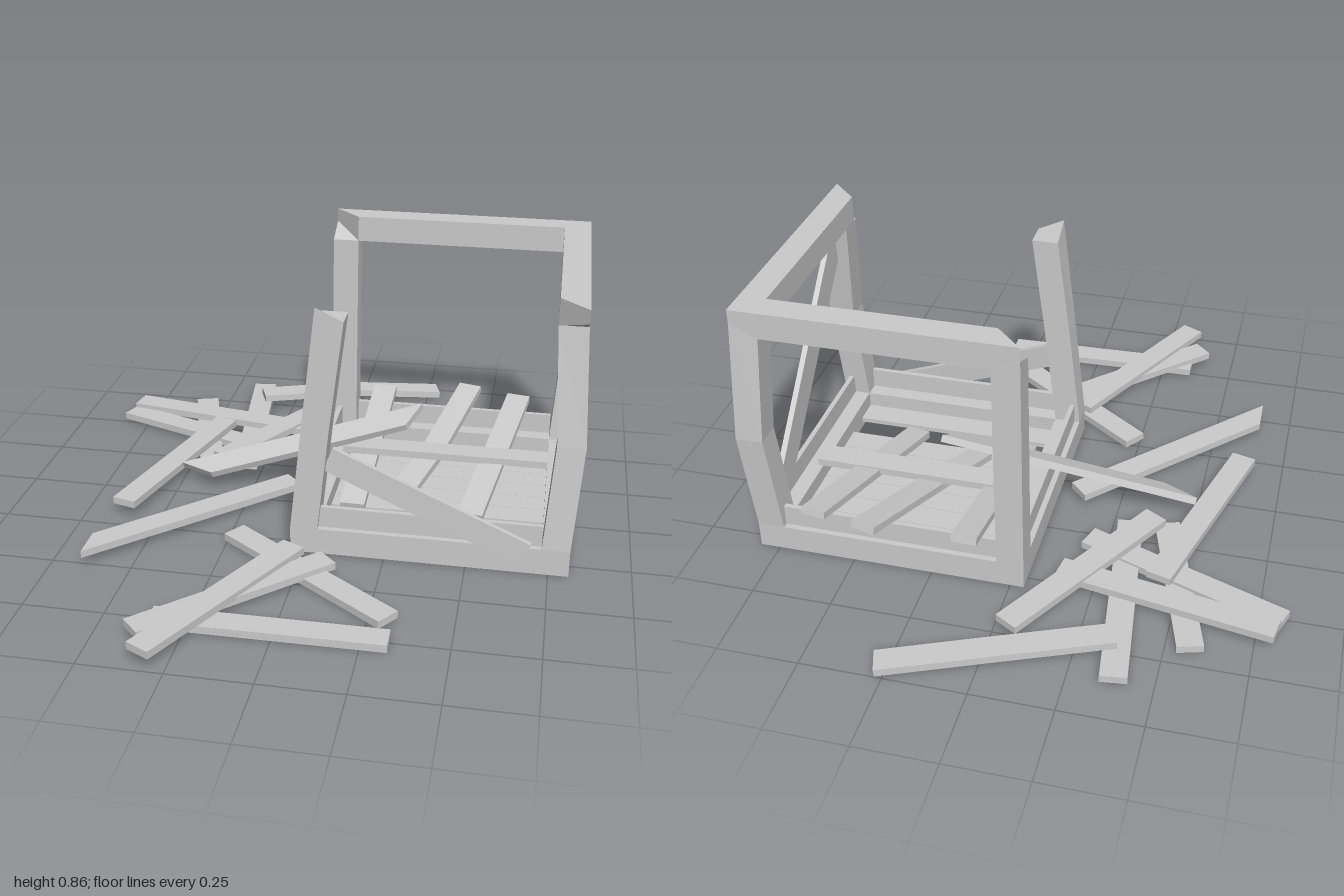
import * as THREE from 'three';

const V = (x, y, z) => new THREE.Vector3(x, y, z);

// Solid through four-cornered sections, capped at both ends and wound outwards
function loft(name, rings) {
  const tris = [];
  const quad = (a, b, c, d) => tris.push([a, b, c], [a, c, d]);
  for (let i = 0; i < rings.length - 1; i++) {
    for (let j = 0; j < 4; j++) {
      const k = (j + 1) % 4;
      quad(rings[i][j], rings[i][k], rings[i + 1][k], rings[i + 1][j]);
    }
  }
  const first = rings[0], last = rings[rings.length - 1];
  quad(first[3], first[2], first[1], first[0]);
  quad(last[0], last[1], last[2], last[3]);

  const centre = first[0].clone().add(last[2]).multiplyScalar(0.5);
  const volume = tris.reduce((sum, [a, b, c]) => sum + a.clone().sub(centre)
    .dot(b.clone().sub(centre).cross(c.clone().sub(centre))), 0);
  const points = tris.flatMap(([a, b, c]) => (volume > 0 ? [a, b, c] : [a, c, b]));
  const geometry = new THREE.BufferGeometry().setFromPoints(points);
  geometry.computeVertexNormals();
  const mesh = new THREE.Mesh(geometry,
    new THREE.MeshStandardMaterial({ color: 0xcccccc, flatShading: true }));
  mesh.name = name;
  return mesh;
}

function box(name, x0, x1, y0, y1, z0, z1) {
  const ring = (y) => [V(x0, y, z0), V(x1, y, z0), V(x1, y, z1), V(x0, y, z1)];
  return loft(name, [ring(y0), ring(y1)]);
}

// Board along a path; up rolls it and skew slants the two ends
function plank(name, path, { up = V(0, 1, 0), width = 0.08, thick = 0.024, skew = [0, 0] } = {}) {
  const pts = path.map((p) => V(...p));
  const n = pts.length - 1;
  const rings = pts.map((p, i) => {
    const dir = pts[Math.min(i + 1, n)].clone().sub(pts[Math.max(i - 1, 0)]).normalize();
    const side = dir.clone().cross(up).normalize();
    const top = side.clone().cross(dir);
    const s = i === 0 ? skew[0] : i === n ? skew[1] : 0;
    return [[1, 1], [-1, 1], [-1, -1], [1, -1]].map(([a, b]) => p.clone()
      .addScaledVector(side, a * width / 2)
      .addScaledVector(top, b * thick / 2)
      .addScaledVector(dir, a * s / 2));
  });
  return loft(name, rings);
}

// Post through [x, y, z] section centres, its outer top corner left higher by the mitre
function post(name, centres, sx, sz) {
  const h = 0.0425;
  const rings = centres.map(([x, y, z], i) =>
    [[1, 1], [-1, 1], [-1, -1], [1, -1]].map(([a, b]) => {
      const raised = i === centres.length - 1 && a === sx && b === sz;
      return V(x + a * h, y + (raised ? 0.04 : 0), z + b * h);
    }));
  return loft(name, rings);
}

export function createModel() {
  const model = new THREE.Group();
  model.name = 'brokenCrate';
  const L = -0.043, R = 0.812, B = -0.543, F = 0.31, T = 0.085;
  const low = 0.773, high = 0.857;

  // Bottom frame
  const frame = new THREE.Group();
  frame.name = 'crateFrame';
  frame.add(
    box('bottomFrontBeam', L, R, 0, T, F - T, F),
    box('bottomBackBeam', L, R, 0, T, B, B + T),
    box('bottomRightBeam', L, L + T, 0, T, B + T, F - T),
    box('bottomLeftBeam', R - T, R, 0, T, B + T, F - T),
  );

  // Corner posts, two bowed and one leaning free
  const h = T / 2;
  frame.add(
    post('backRightPost', [[L + h, T, B + h], [L + h, low, B + h]], -1, -1),
    post('backLeftPost', [[R - h, T, B + h], [R - h + 0.022, 0.42, B + h - 0.02], [R - h, low, B + h]], 1, -1),
    post('frontLeftPost', [[R - h, T, F - h], [R - h + 0.022, 0.42, F - h - 0.025], [R - h, low, F - h - 0.07]], 1, 1),
    post('frontRightPost', [[L + h, T, F - h], [L + h + 0.035, 0.42, F - h], [L + h + 0.078, low, F - h]], -1, 1),
  );

  // Top beams with open mitred ends
  const section = (z) => [V(R, high, z), V(R - T, high, z), V(R - T, low, z), V(R, low, z)];
  frame.add(loft('topLeftBeam', [section(B + T), section(F - T),
    [V(R, high, F), V(R - T, high, F - T), V(R - T, low, F - T), V(R, 0.815, F)]]));
  const backSection = (x) => [V(x, high, B), V(x, high, B + T), V(x, low, B + T), V(x, low, B)];
  frame.add(loft('topBackBeam', [backSection(R), backSection(L + T),
    [V(L, high, B), V(L + T, high, B + T), V(L + T, low, B + T), V(L, 0.815, B)]]));

  // Thin lowest wall boards standing in the frame
  const inset = 0.018, thin = 0.016, wallTop = 0.153;
  const wall = (name, x0, x1, z0, z1) => frame.add(box(name, x0, x1, T - 0.01, wallTop, z0, z1));
  wall('rightWallBoard', L + inset, L + inset + thin, B + T, F - T);
  wall('leftWallBoard', R - inset - thin, R - inset, B + T, F - T);
  wall('backWallBoard', L + T, R - T, B + inset, B + inset + thin);
  wall('frontWallBoard', L + T, R - T, F - inset - thin, F - inset);

  // Side brace in the plane of the wall board
  frame.add(plank('diagonalBrace', [[0.782, 0.75, 0.2], [0.782, 0.08, -0.47]],
    { up: V(1, 0, 0), width: 0.1, thick: 0.018 }));
  model.add(frame);

  // Thin floor boards with one missing
  const floor = new THREE.Group();
  floor.name = 'floor';
  for (const i of [0, 1, 2, 3, 4, 5, 7]) {
    const z = B + T + i * 0.0855;
    floor.add(box('floorBoard', L + T, R - T, 0.018, 0.034, z + 0.001, z + 0.0845));
  }
  model.add(floor);

  // Boards fallen inside the crate and against it
  const fallen = new THREE.Group();
  fallen.name = 'fallenBoards';
  fallen.add(
    plank('fallenBoard', [[0.13, 0.182, -0.58], [0.115, 0.05, 0.085]]),
    plank('fallenBoard', [[0.435, 0.195, -0.61], [0.34, 0.105, -0.25], [0.25, 0.05, 0.02]]),
    plank('fallenBoard', [[0.61, 0.186, -0.57], [0.495, 0.05, 0.085]]),
    plank('crossBoard', [[0.042, 0.125, -0.21], [0.727, 0.125, -0.21]]),
    plank('leaningBoard', [[0.07, 0.315, 0.275], [0.68, 0.07, 0.32]], { up: V(0, 0, 1), thick: 0.018 }),
    plank('rampBoard', [[-0.44, 0.06, -0.055], [0.28, 0.258, -0.19]],
      { up: V(0, 0.94, 0.34), skew: [0.1, -0.07] }),
  );
  model.add(fallen);

  // Boards scattered on the ground: path and end skew
  const scattered = new THREE.Group();
  scattered.name = 'scatteredBoards';
  const boards = [
    [[[-0.36, 0.048, -0.73], [-0.03, 0.042, -0.86], [0.285, 0.014, -0.962]]],
    [[[-0.385, 0.018, -0.87], [-0.305, 0.018, -0.19]]],
    [[[-0.045, 0.05, -0.76], [-0.385, 0.05, -0.18]]],
    [[[-0.575, 0.015, -0.7], [-0.42, 0.015, -0.17]]],
    [[[-0.81, 0.04, -0.595], [-0.14, 0.04, -0.48]]],
    [[[-0.825, 0.025, -0.535], [-0.19, 0.025, -0.3]]],
    [[[-0.44, 0.052, -0.465], [-0.62, 0.05, 0.195]]],
    [[[-0.11, 0.03, -0.085], [-0.65, 0.043, 0.465]], [0, -0.08]],
    [[[-0.235, 0.016, 0.26], [0.312, 0.016, 0.66]]],
    [[[0.092, 0.033, 0.4], [-0.385, 0.036, 0.865]]],
    [[[-0.02, 0.05, 0.37], [-0.328, 0.05, 0.978]]],
    [[[-0.355, 0.018, 0.77], [0.328, 0.014, 0.76]]],
  ];
  for (const [path, skew] of boards) scattered.add(plank('looseBoard', path, { skew }));
  model.add(scattered);

  return model;
}
